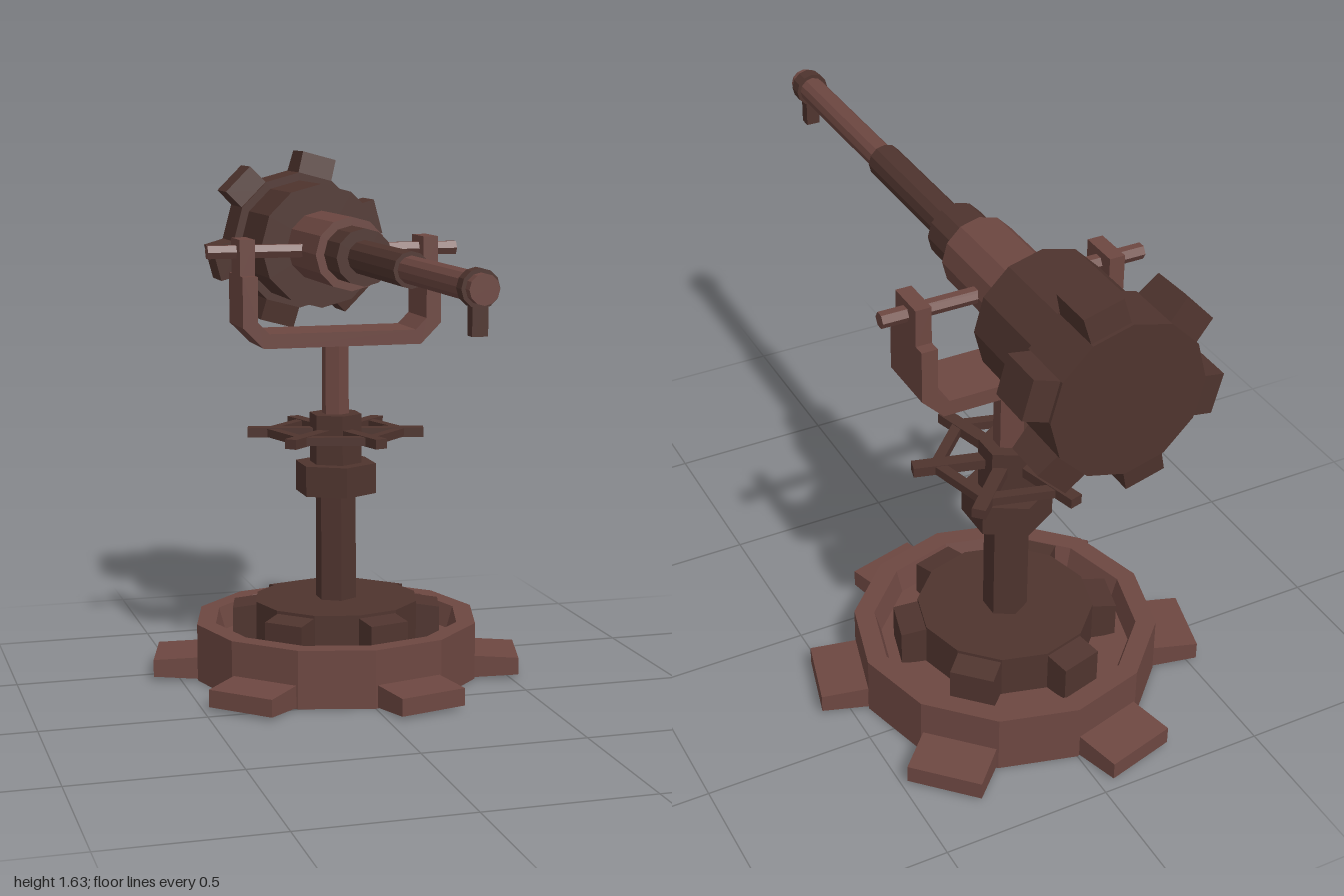
import * as THREE from 'three';

const light = new THREE.MeshStandardMaterial({ color: 0x6d4741, flatShading: true });
const dark = new THREE.MeshStandardMaterial({ color: 0x4f342e, flatShading: true });

function add(parent, name, geometry, material) {
  const mesh = new THREE.Mesh(geometry, material);
  mesh.name = name;
  parent.add(mesh);
  return mesh;
}

// Upright prism between two heights
function prism(parent, name, r, y0, y1, sides, material) {
  const mesh = add(parent, name, new THREE.CylinderGeometry(r, r, y1 - y0, sides), material);
  mesh.position.y = (y0 + y1) / 2;
  return mesh;
}

function box(parent, name, size, pos, material) {
  const mesh = add(parent, name, new THREE.BoxGeometry(...size), material);
  mesh.position.set(...pos);
  return mesh;
}

// Six radial bars around y; the outer end is thinned by taper
function radialBars(parent, name, rIn, rOut, width, y0, y1, taper, startDeg, material) {
  const geo = new THREE.BoxGeometry(rOut - rIn, y1 - y0, width);
  const p = geo.attributes.position;
  for (let i = 0; i < p.count; i++) if (p.getX(i) > 0) p.setY(i, p.getY(i) * taper);
  geo.translate((rIn + rOut) / 2, (y0 + y1) / 2, 0);
  for (let k = 0; k < 6; k++) {
    add(parent, name, geo, material).rotation.y = -THREE.MathUtils.degToRad(startDeg + 60 * k);
  }
}

export function createModel() {
  const model = new THREE.Group();
  model.name = 'mountedGun';

  // Everything on the stand turns about this axis
  const stand = new THREE.Group();
  stand.name = 'stand';
  stand.position.z = -0.39;
  model.add(stand);

  // Base tray with raised rim and six feet
  const tray = [[0, 0], [0.45, 0], [0.45, 0.18], [0.39, 0.18], [0.37, 0.11], [0, 0.11]]
    .map(([x, y]) => new THREE.Vector2(x, y));
  add(stand, 'baseTray', new THREE.LatheGeometry(tray, 12), light);
  radialBars(stand, 'foot', 0.38, 0.573, 0.22, 0, 0.075, 0.72, 15, light);

  // Toothed turntable
  prism(stand, 'turntable', 0.26, 0.1, 0.24, 12, dark);
  radialBars(stand, 'turntableTooth', 0.22, 0.325, 0.13, 0.1, 0.235, 0.78, 15, dark);

  // Hexagonal column
  prism(stand, 'column', 0.065, 0.23, 0.6, 6, dark);
  prism(stand, 'collar', 0.13, 0.58, 0.675, 6, dark);
  prism(stand, 'hub', 0.084, 0.67, 0.83, 6, dark);
  prism(stand, 'upperPost', 0.043, 0.82, 1.07, 6, light);

  // Hand wheel: spokes and a hexagonal rim
  const wheel = new THREE.Group();
  wheel.name = 'handWheel';
  stand.add(wheel);
  radialBars(wheel, 'wheelSpoke', 0.05, 0.275, 0.04, 0.755, 0.785, 1, 15, dark);
  const rim = [[0.19, 0.757], [0.225, 0.757], [0.225, 0.783], [0.19, 0.783], [0.19, 0.757]]
    .map(([x, y]) => new THREE.Vector2(x, y));
  add(wheel, 'wheelRim', new THREE.LatheGeometry(rim, 6), dark).rotation.y = THREE.MathUtils.degToRad(15);

  // U-shaped yoke with chamfered corners
  const outline = [
    [-0.315, 1.27], [-0.315, 1.115], [-0.25, 1.05], [0.25, 1.05], [0.315, 1.115], [0.315, 1.27],
    [0.268, 1.27], [0.268, 1.13], [0.233, 1.095], [-0.233, 1.095], [-0.268, 1.13], [-0.268, 1.27],
  ].map(([x, y]) => new THREE.Vector2(x, y));
  const yoke = new THREE.ExtrudeGeometry(new THREE.Shape(outline), { depth: 0.19, bevelEnabled: false });
  yoke.translate(0, 0, -0.095);
  add(stand, 'yoke', yoke, light);
  for (const s of [-1, 1]) {
    box(stand, 'yokeLug', [0.047, 0.12, 0.12], [s * 0.2915, 1.32, 0], light);
  }

  // Pivot axle
  const axle = add(stand, 'axle', new THREE.CylinderGeometry(0.023, 0.023, 0.795, 6), light);
  axle.rotation.z = Math.PI / 2;
  axle.position.set(-0.007, 1.34, 0);

  // Gun, built along +y and laid forward so that y becomes z
  const gun = new THREE.Group();
  gun.name = 'gun';
  gun.position.y = 1.34;
  gun.rotation.x = Math.PI / 2;
  model.add(gun);
  prism(gun, 'breechWheel', 0.222, -1, -0.83, 12, dark);
  radialBars(gun, 'breechTooth', 0.18, 0.285, 0.115, -0.995, -0.835, 0.82, -15, dark);
  prism(gun, 'breech', 0.196, -0.84, -0.55, 12, dark);
  prism(gun, 'sleeve', 0.112, -0.56, -0.2, 12, light);
  prism(gun, 'sleeveNeck', 0.086, -0.21, -0.06, 12, dark);
  prism(gun, 'rearBarrel', 0.052, -0.07, 0.4, 12, dark);
  prism(gun, 'frontBarrel', 0.04, 0.39, 1, 12, light);

  // Muzzle band with hanging lug
  prism(gun, 'muzzleBand', 0.051, 0.93, 0.97, 12, dark);
  box(gun, 'muzzleLug', [0.042, 0.036, 0.085], [0, 0.95, 0.0775], dark);

  return model;
}
